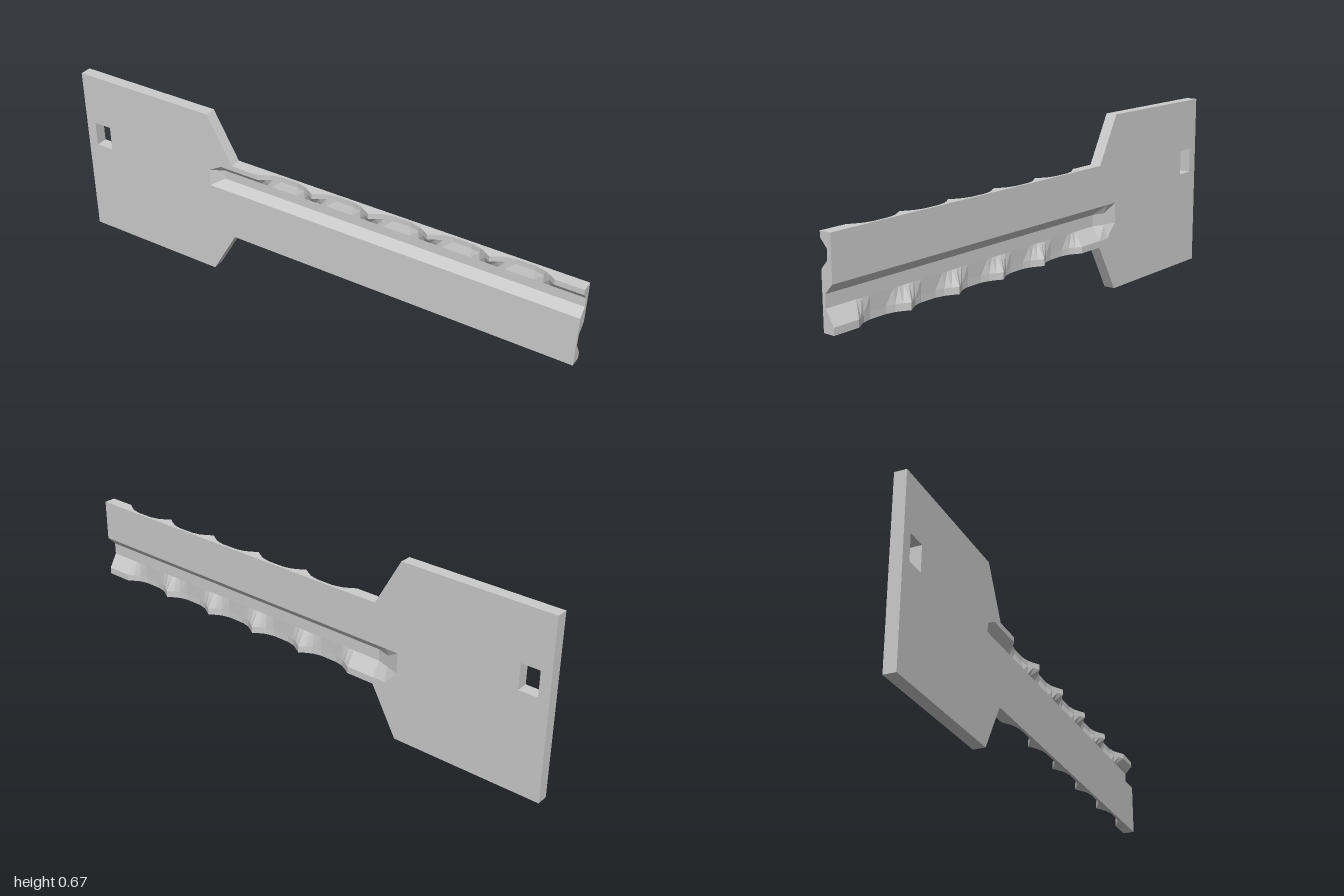
import * as THREE from 'three';

const HALF = 0.022; // half the plate thickness
const NECK = -0.43; // where the bow meets the blade
const { lerp, clamp } = THREE.MathUtils;
const ramp = (x, a, b) => clamp((x - a) / (b - a), 0, 1);

// Stations along the blade: [x, depth of the edge cut from 0 to 1]
function bladeStations() {
  const stations = [[NECK, 0], [-0.38, 0], [-0.33, 0]];
  const cut = [[0, 0], [0.1, 0.42], [0.2, 0.78], [0.35, 1], [0.65, 1], [0.8, 0.78], [0.9, 0.42]];
  const pitch = 0.224;
  for (let k = 0; k < 5; k++) {
    for (const [u, d] of cut) stations.push([-0.22 + pitch * (k + u), d]);
  }
  stations.push([0.9, 0], [1, 0]);
  return stations;
}

// Closed cross-section [y, z]: up the front face, down the back face
function bladeSection([x, depth]) {
  const flare = ramp(x, NECK, -0.33);
  const top = lerp(0.67, 0.49, flare);
  const bottom = lerp(0, 0.18, flare);
  const front = lerp(HALF, -0.005, ramp(x, NECK, -0.38)); // front groove floor
  const back = lerp(-HALF, 0.01, flare); // back groove floor
  const edge = lerp(HALF, -0.012, depth); // scalloped edge
  return [
    [bottom, HALF], [0.375, HALF], [0.405, front], [0.44, front], [0.47, edge], [top, edge],
    [top, -HALF], [0.335, -HALF], [0.301, back], [0.257, back], [0.205, -edge], [bottom, -edge],
  ];
}

// Loft through the sections, closed at the tip
function bladeGeometry() {
  const stations = bladeStations();
  const positions = [];
  const put = (x, p) => positions.push(x, p[0], p[1]);
  for (let i = 0; i < stations.length - 1; i++) {
    const a = bladeSection(stations[i]);
    const b = bladeSection(stations[i + 1]);
    const xa = stations[i][0];
    const xb = stations[i + 1][0];
    for (let j = 0; j < a.length; j++) {
      const n = (j + 1) % a.length;
      put(xa, a[j]); put(xb, b[j]); put(xb, b[n]);
      put(xa, a[j]); put(xb, b[n]); put(xa, a[n]);
    }
  }
  // tip face, turned to face +x
  const tip = bladeSection(stations[stations.length - 1]);
  const outline = tip.map(([y, z]) => new THREE.Vector2(-z, y));
  for (const t of THREE.ShapeUtils.triangulateShape(outline, [])) {
    const area = THREE.ShapeUtils.area(t.map((i) => outline[i]));
    const order = area > 0 ? t : [t[0], t[2], t[1]];
    for (const i of order) put(1, tip[i]);
  }
  const geometry = new THREE.BufferGeometry();
  geometry.setAttribute('position', new THREE.Float32BufferAttribute(positions, 3));
  geometry.computeVertexNormals();
  return geometry;
}

// Flat handle plate with a rectangular ring slot
function bowGeometry() {
  const rect = (path, x0, y0, x1, y1) =>
    path.moveTo(x0, y0).lineTo(x1, y0).lineTo(x1, y1).lineTo(x0, y1).closePath();
  const shape = new THREE.Shape();
  rect(shape, -1, 0, NECK, 0.67);
  const slot = new THREE.Path();
  rect(slot, -0.96, 0.375, -0.89, 0.47);
  shape.holes.push(slot);
  return new THREE.ExtrudeGeometry(shape, { depth: 2 * HALF, bevelEnabled: false }).translate(0, 0, -HALF);
}

export function createModel() {
  const material = new THREE.MeshStandardMaterial({ color: 0xcccccc, flatShading: true });
  const group = new THREE.Group();
  group.name = 'key';
  const add = (name, geometry) => {
    const mesh = new THREE.Mesh(geometry, material);
    mesh.name = name;
    group.add(mesh);
  };
  add('bow', bowGeometry());
  add('blade', bladeGeometry());
  return group;
}
